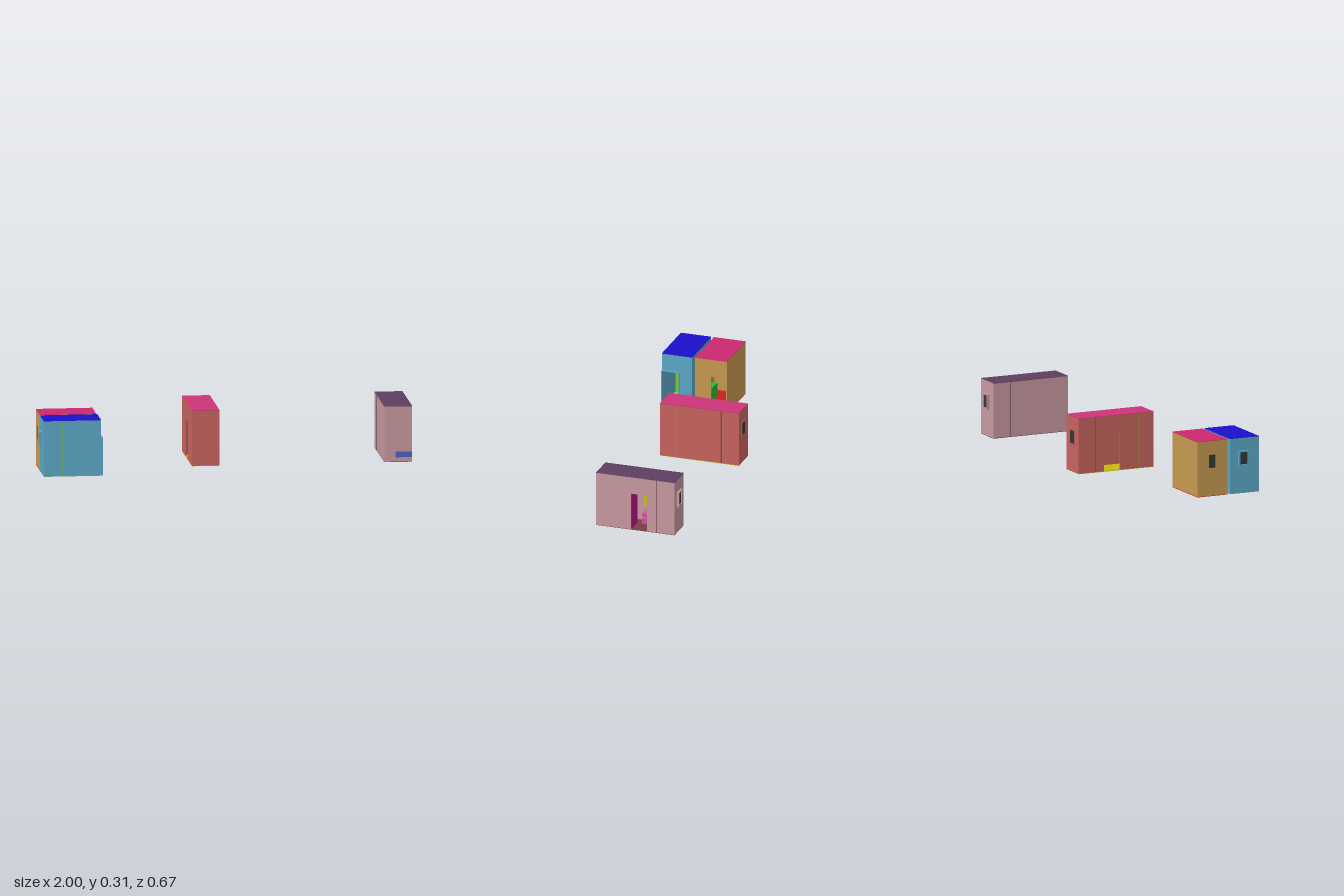
import * as THREE from 'three';

const T = 0.004; // wall thickness
const Y0 = 0.007, Y1 = 0.303;

const mat = (color) => new THREE.MeshStandardMaterial({ color, side: THREE.DoubleSide });

// Box given by its minimum and maximum corners
function box(parent, name, color, [x0, y0, z0], [x1, y1, z1]) {
  const m = new THREE.Mesh(new THREE.BoxGeometry(x1 - x0, y1 - y0, z1 - z0), mat(color));
  m.position.set((x0 + x1) / 2, (y0 + y1) / 2, (z0 + z1) / 2);
  m.name = name;
  parent.add(m);
  return m;
}

// Wall in the z-y plane, with an optional doorway cut up from the floor
function sideWall(parent, name, color, x, z0, z1, door) {
  const s = new THREE.Shape();
  s.moveTo(z0, Y0);
  if (door) {
    s.lineTo(door[0], Y0);
    s.lineTo(door[0], door[2]);
    s.lineTo(door[1], door[2]);
    s.lineTo(door[1], Y0);
  }
  s.lineTo(z1, Y0);
  s.lineTo(z1, Y1);
  s.lineTo(z0, Y1);
  s.closePath();
  const g = new THREE.ExtrudeGeometry(s, { depth: T, bevelEnabled: false });
  g.rotateY(-Math.PI / 2).translate(x + T, 0, 0);
  const m = new THREE.Mesh(g, mat(color));
  m.name = name;
  parent.add(m);
}

// Four walls, floor and roof of one room module
function room(root, name, { x, z, wall, roof, floor, doorLeft, doorRight }) {
  const g = new THREE.Group();
  g.name = name;
  root.add(g);
  const [x0, x1] = x, [z0, z1] = z;
  sideWall(g, 'rightWall', wall, x0, z0, z1, doorRight);
  sideWall(g, 'leftWall', wall, x1 - T, z0, z1, doorLeft);
  box(g, 'backWall', wall, [x0 + T, Y0, z0], [x1 - T, Y1, z0 + T]);
  box(g, 'frontWall', wall, [x0 + T, Y0, z1 - T], [x1 - T, Y1, z1]);
  box(g, 'floor', floor, [x0, Y0 - 0.002, z0], [x1, Y0 + 0.001, z1]);
  box(g, 'roof', roof, [x0, Y1 - 0.001, z0], [x1, Y1 + 0.002, z1]);
  return g;
}

// Framed window facing -z; turned a quarter it faces -x
function makeWindow(parent, color, w, h, depth, pos, facesSide) {
  const g = new THREE.Group();
  g.name = 'window';
  const b = 0.007, d = -depth;
  for (const s of [-1, 1]) {
    const sx = s * (w - b) / 2, sy = s * (h - b) / 2;
    box(g, 'windowStile', color, [sx - b / 2, -h / 2, d], [sx + b / 2, h / 2, 0]);
    box(g, 'windowRail', color, [-w / 2 + b, sy - b / 2, d], [w / 2 - b, sy + b / 2, 0]);
  }
  box(g, 'windowGlass', 0x34383a, [-w / 2 + b, -h / 2 + b, d * 0.5], [w / 2 - b, h / 2 - b, 0]);
  g.position.set(...pos);
  if (facesSide) g.rotation.y = Math.PI / 2;
  parent.add(g);
}

export function createModel() {
  const root = new THREE.Group();
  root.name = 'roomModules';

  // Blue room with a projecting door frame
  const blue = 0x5da9c8;
  const a = room(root, 'blueRoom', {
    x: [-0.987, -0.683], z: [0.165, 0.335], wall: blue, roof: 0x1a10cc, floor: 0x6cc080,
    doorLeft: [0.238, 0.331, 0.208],
  });
  makeWindow(a, blue, 0.06, 0.08, 0.013, [-0.987, 0.195, 0.243], true);
  for (const z of [0.235, 0.332])
    box(a, 'doorJamb', blue, [-0.683, Y0, z], [-0.673, 0.21, z + 0.003]);
  box(a, 'doorHead', blue, [-0.683, 0.207, 0.238], [-0.673, 0.21, 0.332]);
  box(a, 'partition', 0x86c820, [-0.892, Y0, 0.166], [-0.888, Y1 - 0.002, 0.3355]);
  box(a, 'shelf', 0xd055b8, [-0.75, 0.09, 0.166], [-0.6825, 0.096, 0.215]);
  box(a, 'cabinet', 0x8a50b8, [-0.86, 0.01, 0.17], [-0.77, 0.075, 0.21]);
  box(a, 'wallCupboard', 0xc8c020, [-0.86, 0.12, 0.17], [-0.77, 0.19, 0.195]);
  box(a, 'drain', 0x302028, [-0.88, 0.001, 0.2], [-0.78, 0.006, 0.25]);

  // Tan room
  const tan = 0xc89a50;
  const b = room(root, 'tanRoom', {
    x: [-0.987, -0.687], z: [-0.027, 0.15], wall: tan, roof: 0xcc2870, floor: 0xc82020,
    doorLeft: [-0.022, 0.06, 0.205],
  });
  makeWindow(b, tan, 0.055, 0.085, 0.003, [-0.987, 0.193, 0.06], true);
  box(b, 'counter', 0x28b838, [-0.9, 0.01, 0.1], [-0.7, 0.085, 0.145]);
  box(b, 'wallCupboard', 0xd0c020, [-0.86, 0.12, 0.115], [-0.7, 0.2, 0.145]);
  box(b, 'foot', 0xc04080, [-0.88, 0, 0.133], [-0.78, 0.006, 0.15]);

  // Red room, divided in three
  const red = 0xc8645f;
  const r = room(root, 'redRoom', {
    x: [-0.173, -0.027], z: [-0.325, 0.115], wall: red, roof: 0xcc3478, floor: 0xc8b810,
    doorRight: [-0.175, -0.082, 0.21],
  });
  makeWindow(r, red, 0.06, 0.085, 0.003, [-0.098, 0.193, -0.325]);
  for (const [z, c] of [[0.03, 0x7cb020], [-0.225, 0x884440]])
    box(r, 'partition', c, [-0.1735, Y0, z - 0.002], [-0.0265, Y1 - 0.002, z + 0.002]);

  // Pink room with wash area
  const pink = 0xc89aa0;
  const p = room(root, 'pinkRoom', {
    x: [0.85, 0.998], z: [-0.323, 0.115], wall: pink, roof: 0x5e3f60, floor: 0x784048,
    doorLeft: [-0.17, -0.08, 0.21],
  });
  makeWindow(p, pink, 0.06, 0.083, 0.012, [0.931, 0.193, -0.323]);
  box(p, 'partition', 0x86b020, [0.853, Y0, -0.2265], [0.995, Y1 - 0.002, -0.2235]);
  for (const x of [0.8495, 0.9975])
    box(p, 'wallSeam', 0x4a3438, [x, Y0, -0.2265], [x + 0.001, Y1, -0.2235]);
  box(p, 'openDoor', 0xc01090, [0.9, 0.01, -0.083], [0.994, 0.207, -0.079]);
  box(p, 'wallCupboard', 0xc8c020, [0.854, 0.097, -0.185], [0.872, 0.195, -0.106]);
  box(p, 'vanityBase', 0xd0589a, [0.854, 0.01, -0.2], [0.91, 0.04, -0.112]);
  box(p, 'vanityMiddle', 0x9a70c8, [0.854, 0.04, -0.2], [0.9, 0.052, -0.125]);
  box(p, 'vanityTop', 0xd0589a, [0.854, 0.052, -0.2], [0.91, 0.068, -0.112]);
  const tap = new THREE.Mesh(new THREE.CylinderGeometry(0.0015, 0.0015, 0.016, 8), mat(0x505050));
  tap.name = 'tap';
  tap.position.set(0.87, 0.075, -0.15);
  p.add(tap);
  box(p, 'bench', 0x4a66c8, [0.91, 0.03, 0.06], [0.996, 0.06, 0.1155]);
  box(p, 'drain', 0x302028, [0.87, 0.003, -0.32], [0.92, 0.006, -0.26]);

  return root;
}
